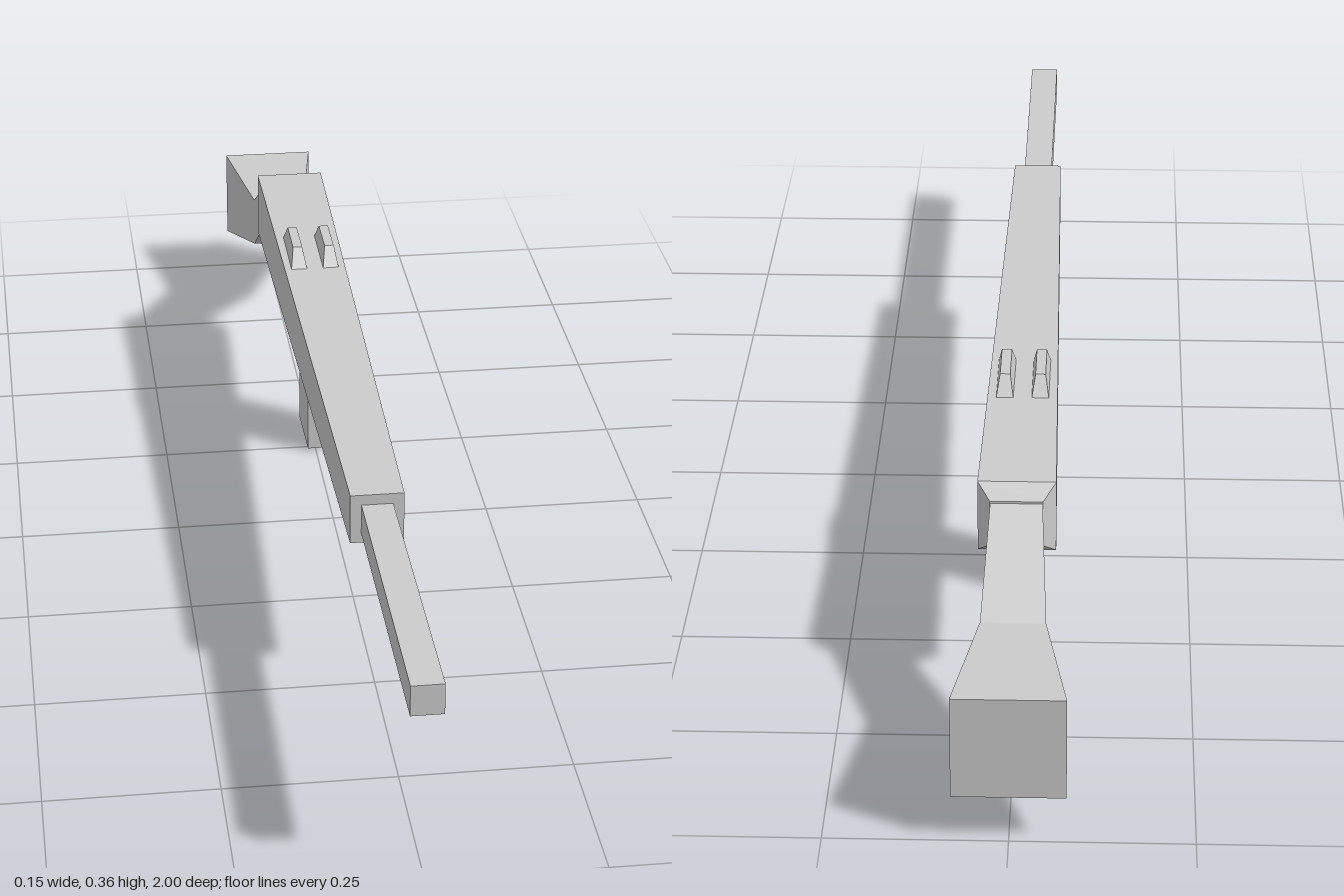
import * as THREE from 'three';

const material = new THREE.MeshStandardMaterial({ color: 0xcccccc, flatShading: true });

// Skins rectangular sections [z, halfWidth, bottom, top], listed front to back, and caps both ends
function loft(sections) {
  const positions = [];
  const rings = sections.map(([z, w, y0, y1]) => [[-w, y0, z], [w, y0, z], [w, y1, z], [-w, y1, z]]);
  const quad = (a, b, c, d) => positions.push(...a, ...b, ...c, ...a, ...c, ...d);
  quad(...rings[0]);
  for (let i = 0; i < rings.length - 1; i++) {
    const f = rings[i], b = rings[i + 1];
    for (let k = 0; k < 4; k++) {
      const n = (k + 1) % 4;
      quad(f[k], b[k], b[n], f[n]);
    }
  }
  quad(...rings[rings.length - 1].slice().reverse());
  const geometry = new THREE.BufferGeometry();
  geometry.setAttribute('position', new THREE.Float32BufferAttribute(positions, 3));
  geometry.computeVertexNormals();
  return geometry;
}

// Box whose top face is narrowed in x and z
function taperedBox(w, h, d, topX, topZ) {
  const geometry = new THREE.BoxGeometry(w, h, d);
  const p = geometry.attributes.position;
  for (let i = 0; i < p.count; i++) {
    if (p.getY(i) > 0) p.setXYZ(i, p.getX(i) * topX, p.getY(i), p.getZ(i) * topZ);
  }
  geometry.computeVertexNormals();
  return geometry;
}

export function createModel() {
  const model = new THREE.Group();
  const add = (name, geometry, x = 0, y = 0, z = 0) => {
    const mesh = new THREE.Mesh(geometry, material);
    mesh.name = name;
    mesh.position.set(x, y, z);
    model.add(mesh);
  };

  // Square barrel
  add('barrel', loft([[1, 0.023, 0.262, 0.308], [0.5, 0.023, 0.262, 0.308]]));

  // Long body widening to the rear, with a bevelled back end
  add('body', loft([
    [0.515, 0.039, 0.247, 0.324],
    [-0.625, 0.055, 0.23, 0.339],
    [-0.648, 0.037, 0.25, 0.32],
  ]));

  // Dropped neck flaring out to the butt
  add('stock', loft([
    [-0.64, 0.036, 0.255, 0.322],
    [-0.8, 0.045, 0.131, 0.217],
    [-1, 0.077, 0.07, 0.223],
  ]));

  // Thin magazine with a slightly sloping underside
  const magazine = new THREE.BoxGeometry(0.025, 0.24, 0.124);
  const p = magazine.attributes.position;
  for (let i = 0; i < p.count; i++) {
    if (p.getY(i) < 0 && p.getZ(i) > 0) p.setY(i, p.getY(i) + 0.004);
  }
  magazine.computeVertexNormals();
  add('magazine', magazine, -0.001, 0.12, -0.298);

  // Pair of sight rails
  for (const side of [-1, 1]) {
    add(side > 0 ? 'leftSight' : 'rightSight', taperedBox(0.027, 0.033, 0.134, 0.55, 0.6), side * 0.026, 0.3465, -0.304);
  }

  return model;
}
